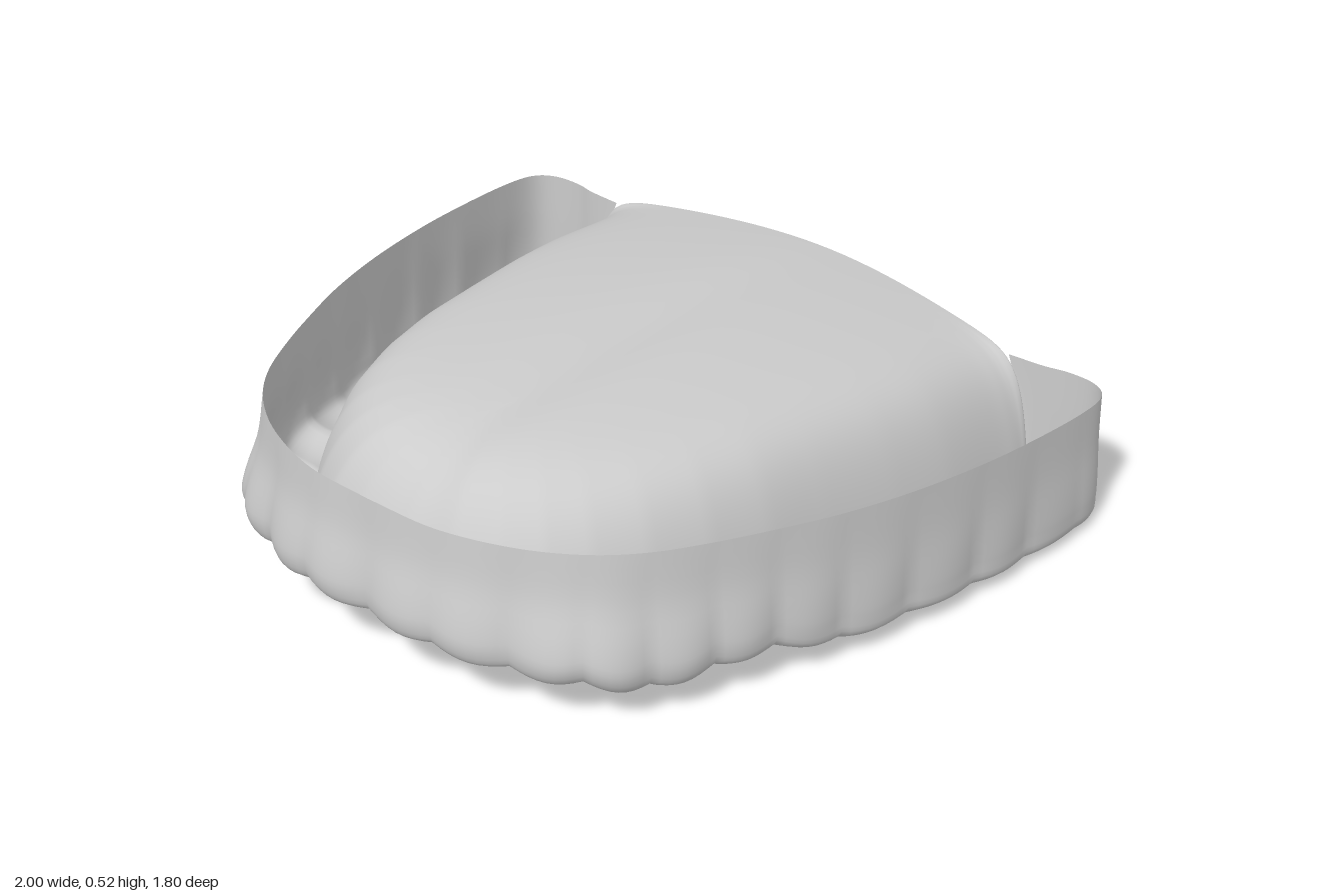
import * as THREE from 'three';
import { mergeVertices } from 'three/addons/utils/BufferGeometryUtils.js';

// Stations along one half of the arch, from the front centre round the rear end:
// rim x, rim z, bite height, inner foot x, inner foot z, tooth bulge
const STATIONS = [
  [0.00, 0.85, 0.155, 0.00, 0.79, 0.035],
  [0.20, 0.84, 0.150, 0.17, 0.785, 0.045],
  [0.38, 0.78, 0.135, 0.30, 0.75, 0.045],
  [0.52, 0.69, 0.120, 0.40, 0.68, 0.070],
  [0.62, 0.58, 0.090, 0.48, 0.59, 0.055],
  [0.70, 0.44, 0.100, 0.55, 0.46, 0.040],
  [0.77, 0.29, 0.100, 0.61, 0.30, 0.025],
  [0.84, 0.12, 0.060, 0.66, 0.13, 0.018],
  [0.90, -0.08, 0.050, 0.69, -0.06, 0.012],
  [0.945, -0.30, 0.037, 0.73, -0.30, 0.010],
  [0.97, -0.50, 0.025, 0.755, -0.50, 0.010],
  [0.982, -0.70, 0.016, 0.76, -0.70, 0.018],
  [0.97, -0.81, 0.010, 0.765, -0.78, 0.014],
  [0.92, -0.858, 0.008, 0.765, -0.81, 0.006],
  [0.84, -0.865, 0.010, 0.765, -0.825, 0.003],
  [0.77, -0.85, 0.015, 0.762, -0.835, 0],
  [0.67, -0.842, 0.025, 0.755, -0.84, 0],
];
const LAST = STATIONS.length - 1;
const STEPS = 8; // rows per station

const curve = (pick) => new THREE.CatmullRomCurve3(
  STATIONS.map((s) => new THREE.Vector3(...pick(s))), false, 'catmullrom', 0.5);
const rimCurve = curve((s) => [s[0], s[2], s[1]]);
const footCurve = curve((s) => [s[3], s[5], s[4]]);
const lerp = THREE.MathUtils.lerp;
const smooth = THREE.MathUtils.smoothstep;

// Everything a cross-section needs at station s (0 = front centre)
function station(s) {
  const rim = rimCurve.getPoint(s / LAST);
  const foot = footCurve.getPoint(s / LAST);
  const tan = rimCurve.getTangent(s / LAST);
  const len = Math.hypot(tan.x, tan.z);
  const tooth = (Math.abs(Math.sin(Math.PI * s)) - 0.6) * (1 - smooth(s, 9, 12));
  return {
    rim, foot,
    out: [-tan.z / len, tan.x / len],
    top: 0.425 + 0.066 * rim.z,
    bite: Math.max(0.002, rim.y - 0.016 * tooth * (1 - 0.6 * smooth(s, 6, 8))),
    bulge: Math.max(0, foot.y) + 0.016 * tooth,
  };
}

// Outer wall and floor: rim, down over the teeth, across to the inner foot
function troughSection(s) {
  const { rim, foot, out, top, bite, bulge } = station(s);
  const baseX = Math.max(rim.x, foot.x);
  const wall = (down, swell, lean) => new THREE.Vector3(
    lerp(rim.x, baseX, lean) + out[0] * bulge * swell,
    lerp(top, bite, down),
    rim.z + out[1] * bulge * swell);
  const floor = (f, lift) => new THREE.Vector3(
    lerp(baseX, foot.x, f), bite + lift, lerp(rim.z, foot.z, f));
  return new THREE.CatmullRomCurve3([
    wall(0, 0, 0), wall(0.35, 0.3, 0.55), wall(0.65, 0.85, 0.85), wall(0.82, 1, 0.95),
    wall(0.95, 0.7, 1), floor(0.12, 0), floor(0.5, 0.006), floor(0.85, 0.006), floor(1, 0.035),
  ]).getPoints(28);
}

// Inner wall and palate: from the inner foot up and over to the midline
function palateSection(s) {
  const { foot, bite } = station(s);
  const midZ = 0.35 + (foot.z - 0.79) * (1.255 / 1.63);
  const width = lerp(lerp(0.09, 0.06, smooth(s, 1, 6)), 0.035, smooth(s, 10, LAST));
  const y0 = bite + 0.035;
  const pts = [];
  for (let i = 0; i <= 32; i++) {
    const f = (i / 32) ** 2;
    const x = foot.x * (1 - f);
    const z = lerp(foot.z, midZ, lerp(f, smooth(f, 0, 1), smooth(s, 4, LAST)));
    const d = Math.hypot(x - foot.x, z - foot.z);
    const dome = 0.535 - 0.0785 * (z - 0.2) ** 2 - 0.15 * x * x
      - 0.02 * Math.exp(-((x / 0.1) ** 2)) * smooth(z, -0.9, 0);
    pts.push(new THREE.Vector3(x, lerp(y0, dome, 1 - Math.exp(-d / width)), z));
  }
  return pts;
}

// Loft the mirrored sections from the right rear end to the left rear end
function loft(section) {
  const pos = [], index = [];
  const n = LAST * STEPS;
  let cols = 0;
  for (let j = -n; j <= n; j++) {
    const pts = section(Math.abs(j) / STEPS);
    cols = pts.length;
    pts.forEach((p) => pos.push(j < 0 ? -p.x : p.x, p.y, p.z));
  }
  for (let j = 0; j < 2 * n; j++) {
    for (let i = 0; i < cols - 1; i++) {
      const a = j * cols + i, b = a + cols;
      index.push(a, a + 1, b, b, a + 1, b + 1);
    }
  }
  let geo = new THREE.BufferGeometry();
  geo.setAttribute('position', new THREE.Float32BufferAttribute(pos, 3));
  geo.setIndex(index);
  geo = mergeVertices(geo, 1e-5);
  geo.computeVertexNormals();
  return geo;
}

export function createModel() {
  const group = new THREE.Group();
  group.name = 'dentalTray';
  const material = new THREE.MeshStandardMaterial({ color: 0xcccccc, side: THREE.DoubleSide });
  const parts = { toothTrough: troughSection, palate: palateSection };
  for (const [name, section] of Object.entries(parts)) {
    const mesh = new THREE.Mesh(loft(section), material);
    mesh.name = name;
    group.add(mesh);
  }
  return group;
}
